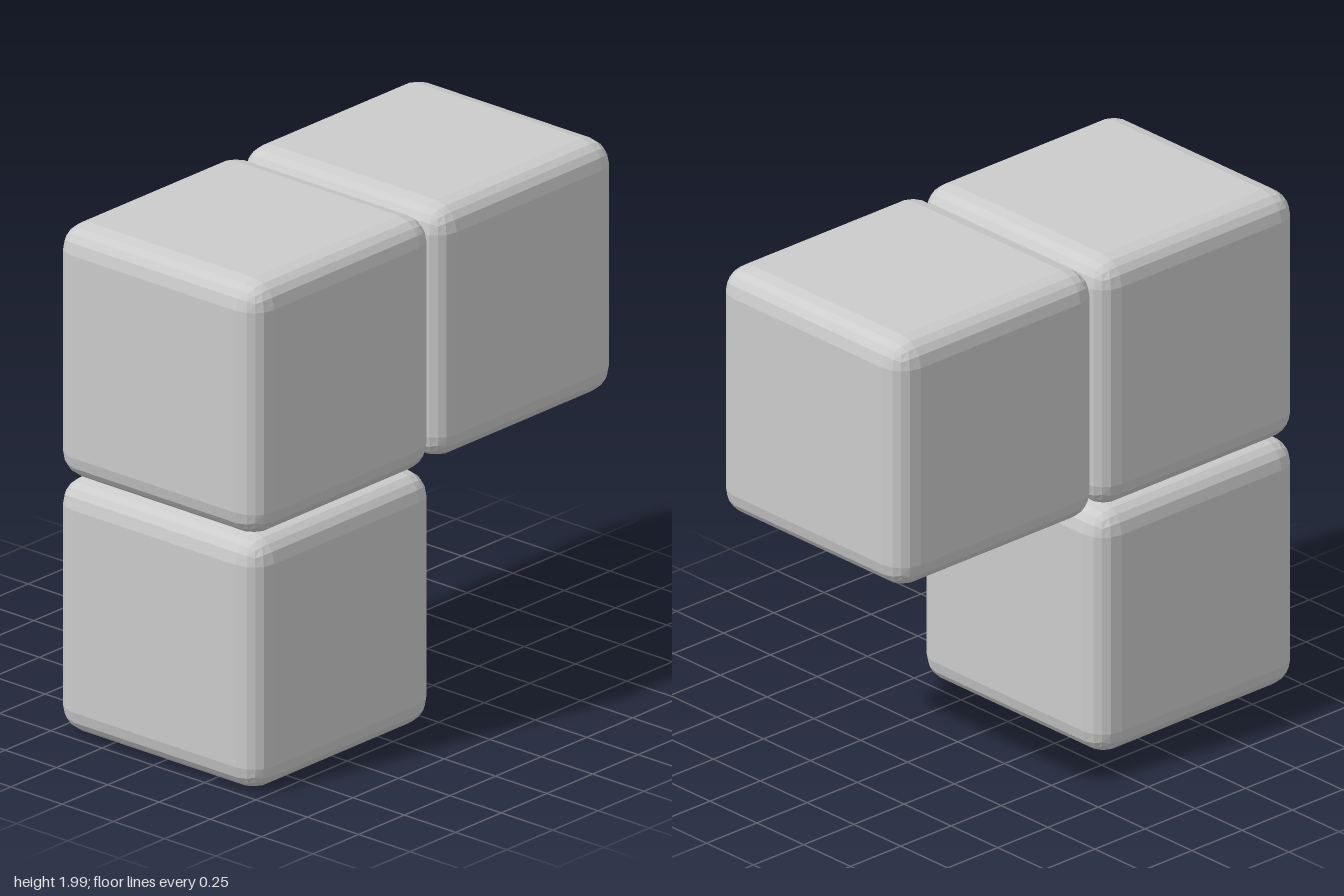
import * as THREE from 'three';
import { RoundedBoxGeometry } from 'three/addons/geometries/RoundedBoxGeometry.js';

const SIZE = 0.995;
const BEVEL = 0.1;

export function createModel() {
  const group = new THREE.Group();
  group.name = 'cornerBlocks';

  const material = new THREE.MeshStandardMaterial({ color: 0xcccccc, flatShading: true });
  const geometry = new RoundedBoxGeometry(SIZE, SIZE, SIZE, 2, BEVEL);

  // Three equal bevelled cubes in an L: a column of two with one beside the top
  const blocks = [
    ['lowerBlock', -0.5, 0.5],
    ['cornerBlock', -0.5, 1.5],
    ['sideBlock', 0.5, 1.5],
  ];
  for (const [name, x, y] of blocks) {
    const block = new THREE.Mesh(geometry, material);
    block.name = name;
    block.position.set(x, y, 0);
    group.add(block);
  }
  return group;
}
